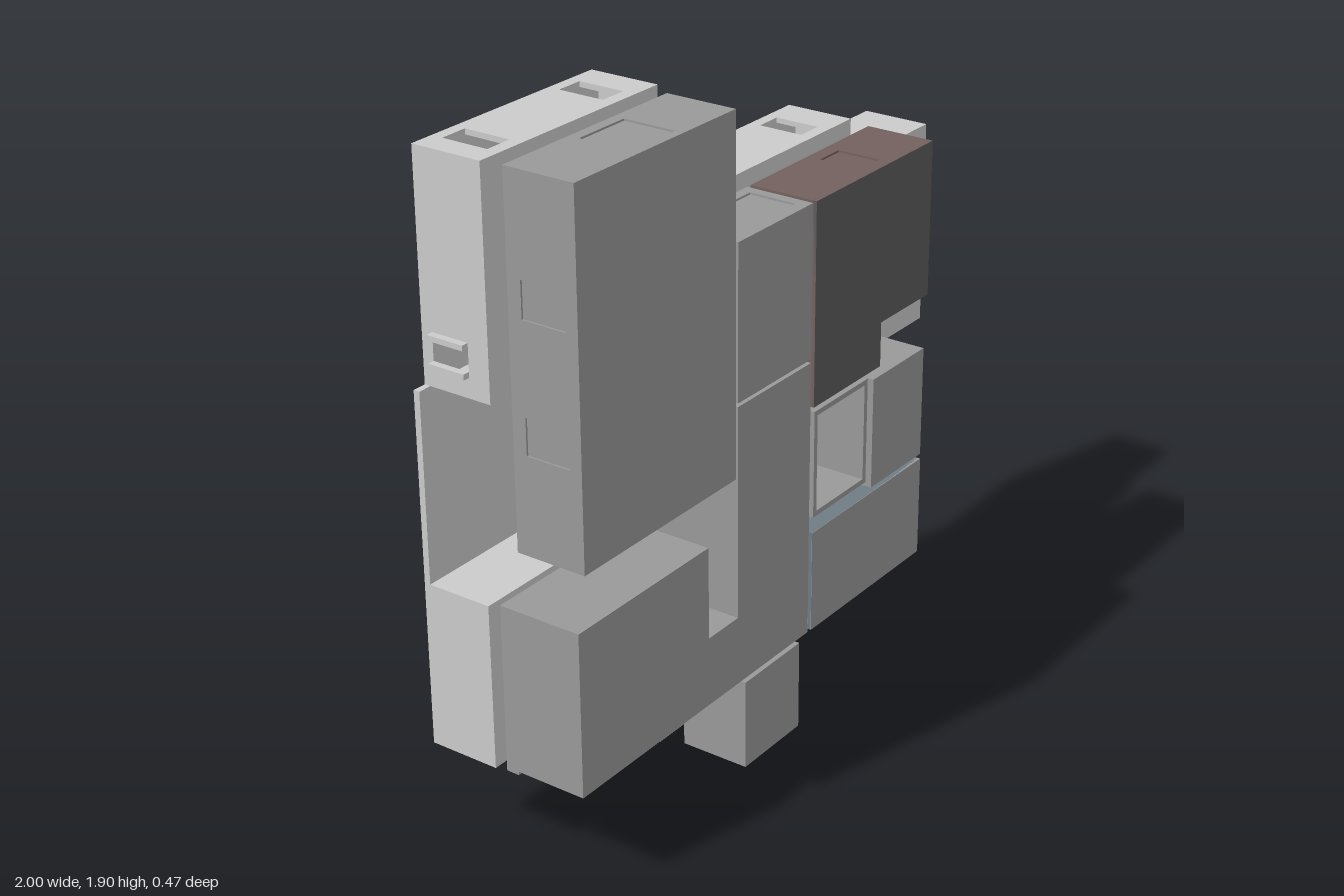
import * as THREE from 'three';

const T = 0.015; // wall thickness
const GREY = 0xcccccc, MID = 0x999999;
const mats = {};
const mat = (c) => (mats[c] ??= new THREE.MeshStandardMaterial({ color: c, flatShading: true }));

const shapeOf = (pts) => new THREE.Shape(pts.map(([x, y]) => new THREE.Vector2(x, y)));
const rect = (x0, y0, x1, y1) => [[x0, y0], [x1, y0], [x1, y1], [x0, y1]];

function slab(name, shape, z, depth, color) {
  const g = new THREE.ExtrudeGeometry(shape, { depth, bevelEnabled: false });
  const m = new THREE.Mesh(g, mat(color));
  m.position.z = z;
  m.name = name;
  return m;
}

// Hollow room on a counter-clockwise outline with axis-aligned walls.
// windows: [edge, from, to, zFrom, zTo], with from/to measured along x or y.
function room(name, pts, z0, z1, color, windows = [], { open = false, panes = false, front = color } = {}) {
  const g = new THREE.Group();
  g.name = name;
  g.add(slab('backPanel', shapeOf(pts), z0, T, color));
  if (!open) g.add(slab('frontPanel', shapeOf(pts), z1 - T, T + (front !== color ? 0.001 : 0), front));
  pts.forEach((p, i) => {
    const q = pts[(i + 1) % pts.length];
    const len = Math.hypot(q[0] - p[0], q[1] - p[1]);
    const dir = new THREE.Vector3((q[0] - p[0]) / len, (q[1] - p[1]) / len, 0);
    const up = new THREE.Vector3(0, 0, 1);
    const out = new THREE.Vector3().crossVectors(dir, up);
    const frame = new THREE.Matrix4().makeBasis(dir, up, out);
    frame.setPosition(p[0] - out.x * T, p[1] - out.y * T, 0);
    const shape = shapeOf(rect(0, z0, len, z1));
    for (const [edge, a, b, za, zb] of windows) {
      if (edge !== i) continue;
      const along = (v) => (Math.abs(dir.x) > 0.5 ? (v - p[0]) * dir.x : (v - p[1]) * dir.y);
      const u0 = Math.min(along(a), along(b)), u1 = Math.max(along(a), along(b));
      shape.holes.push(new THREE.Path(rect(u0, za, u1, zb).reverse().map(([x, y]) => new THREE.Vector2(x, y))));
      if (panes) {
        const pane = new THREE.Mesh(new THREE.BoxGeometry(u1 - u0, zb - za, 0.004), mat(color));
        pane.geometry.translate((u0 + u1) / 2, (za + zb) / 2, T / 2);
        pane.geometry.applyMatrix4(frame);
        pane.name = 'windowPane';
        g.add(pane);
      }
    }
    const wall = new THREE.Mesh(new THREE.ExtrudeGeometry(shape, { depth: T, bevelEnabled: false }), mat(color));
    wall.geometry.applyMatrix4(frame);
    wall.name = 'wall';
    g.add(wall);
  });
  return g;
}

function box(name, x0, y0, z0, x1, y1, z1, color) {
  const m = new THREE.Mesh(new THREE.BoxGeometry(x1 - x0, y1 - y0, z1 - z0), mat(color));
  m.position.set((x0 + x1) / 2, (y0 + y1) / 2, (z0 + z1) / 2);
  m.name = name;
  return m;
}

export function createModel() {
  const model = new THREE.Group();
  model.name = 'floorPlanBlocks';

  // rear storey: one base plate, with a slot, carrying a hollow shell
  const plate = shapeOf([
    [-1, 0.3], [-0.32, 0.3], [-0.32, 0.02], [0.01, 0.02], [0.01, 0.3], [0.585, 0.3], [0.585, 0.825],
    [0.995, 0.825], [0.995, 1.435], [0.59, 1.435], [0.59, 1.565], [-0.29, 1.565], [-0.29, 1.9],
    [-0.96, 1.9], [-0.96, 1.29], [-1, 1.29]]);
  plate.holes.push(new THREE.Path(rect(-0.305, 1.15, -0.285, 1.29).reverse().map(([x, y]) => new THREE.Vector2(x, y))));
  model.add(slab('basePlate', plate, -0.233, 0.018, GREY));

  const zA = -0.2, zB = -0.065;
  model.add(room('rearStorey', [
    [-1, 0.3], [-0.32, 0.3], [-0.32, 0.02], [0.01, 0.02], [0.01, 0.3], [0.585, 0.3], [0.585, 0.825],
    [0.995, 0.825], [0.995, 1.435], [0.59, 1.435], [0.59, 1.565], [-0.29, 1.565], [-0.29, 1.9],
    [-0.96, 1.9], [-0.96, 1.29], [-0.32, 1.29], [-0.32, 0.765], [-1, 0.765]],
  -0.216, -0.028, GREY, [
    [0, -0.93, -0.85, zA, zB], [0, -0.55, -0.47, zA, zB],
    [2, -0.2, -0.11, zA, zB],
    [4, 0.17, 0.25, zA, zB], [4, 0.45, 0.53, zA, zB],
    [6, 0.76, 0.84, zA, zB],
    [7, 0.93, 1.01, zA, zB], [7, 1.28, 1.35, zA, zB],
    [10, -0.2, -0.11, zA, zB], [10, 0.4, 0.48, zA, zB],
    [11, 1.68, 1.83, zA, -0.085],
    [12, -0.89, -0.81, zA, zB], [12, -0.46, -0.38, zA, zB],
    [13, 1.35, 1.43, zA, -0.09]]));
  model.add(box('sideWindowSill', -0.98, 1.345, -0.2, -0.96, 1.36, -0.09, GREY));
  model.add(box('sideWindowHead', -0.98, 1.42, -0.2, -0.96, 1.435, -0.09, GREY));
  model.add(box('bottomSill', -0.23, 0, -0.22, -0.08, 0.02, -0.205, GREY));

  // front storey: separate blocks with shallow windows
  const z0 = 0.03, z1 = 0.235, p = { panes: true };
  model.add(room('tallRoom', rect(-0.95, 0.91, -0.33, 1.9), z0, z1, MID,
    [[2, -0.71, -0.54, 0.06, 0.21], [3, 1.18, 1.28, 0.07, 0.2], [3, 1.53, 1.63, 0.07, 0.2]], p));
  model.add(room('upperHall', rect(-0.32, 1.12, 0.01, 1.555), z0, z1, MID, [[2, -0.1, -0.02, 0.06, 0.2]], p));
  model.add(room('lowerHall', [
    [-0.98, 0.3], [0.01, 0.3], [0.01, 1.11], [-0.32, 1.11], [-0.32, 0.5], [-0.45, 0.5], [-0.45, 0.765], [-0.98, 0.765]],
  z0, z1, MID, [[0, -0.87, -0.77, 0.07, 0.2], [0, -0.54, -0.44, 0.07, 0.2]], p));
  model.add(box('lowerRoomBacking', -0.98, 0.29, -0.008, -0.42, 0.765, z0, MID));
  model.add(box('hallBacking', -0.42, 0.3, 0, -0.19, 0.5, z0, MID));
  model.add(box('storeyLink', -0.32, 0.5, -0.028, -0.19, 0.84, z0, MID));
  model.add(room('redRoom', [
    [0.025, 0.975], [0.35, 0.975], [0.35, 1.105], [0.59, 1.105], [0.59, 1.555], [0.025, 1.555]],
  z0, z1, 0x73615e, [[4, 0.29, 0.38, 0.07, 0.2]], { panes: true, front: 0x5c5c5c }));
  model.add(room('openNook', rect(0.03, 0.645, 0.29, 0.96), z0, z1, MID, [], { open: true }));
  model.add(room('smallRoom', rect(0.32, 0.615, 0.58, 0.945), z0, z1, MID));
  model.add(room('blueRoom', rect(0.025, 0.3, 0.58, 0.6), z0, z1, 0x6e7c84,
    [[0, 0.27, 0.37, 0.07, 0.2], [1, 0.5, 0.57, 0.07, 0.205]], { panes: true, front: MID }));
  model.add(room('porch', rect(-0.285, 0.02, -0.03, 0.285), z0, z1, MID));
  return model;
}
